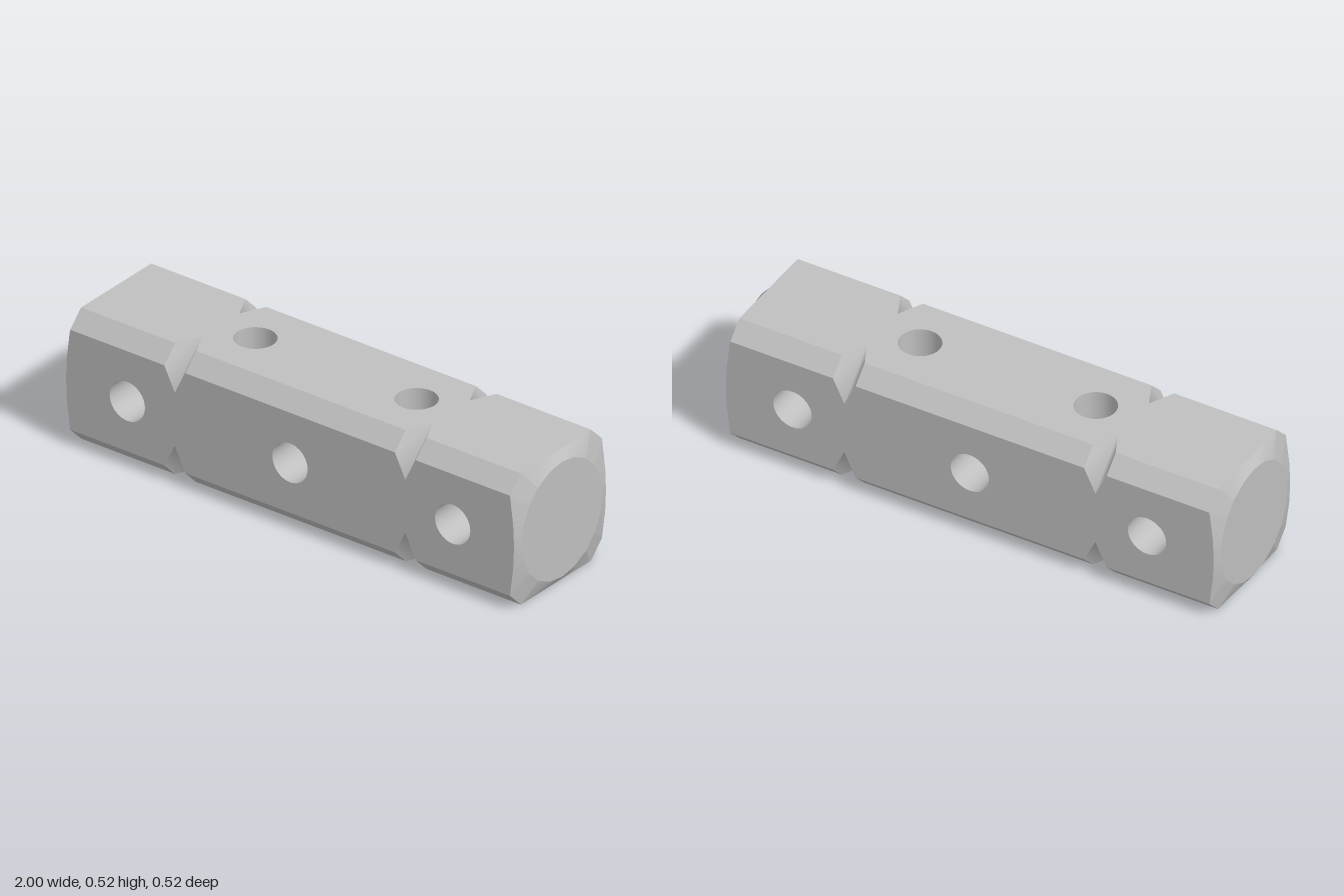
import * as THREE from 'three';

const H = 0.262, F = 0.2;              // half section, half width of each flat
const R = 0.23, END = 0.973;           // end disc radius, start of the end bevel
const NX = 0.51, NW = 0.046, NV = 0.106; // notch position, half width, apex
const HOLE = 0.078, STEP = Math.PI / 10;

const steel = new THREE.MeshStandardMaterial({ color: 0xbfbfbf, side: THREE.DoubleSide });
steel.name = 'grey steel';

function add(parent, geometry, name) {
  const mesh = new THREE.Mesh(geometry, steel);
  mesh.name = name;
  parent.add(mesh);
  return mesh;
}

function build(points, index) {
  const g = new THREE.BufferGeometry();
  g.setAttribute('position', new THREE.Float32BufferAttribute(points.flat(), 3));
  g.setIndex(index);
  g.computeVertexNormals();
  return g;
}

// x of the conical end bevel where it meets a front or back flat
const coneX = (v) => 1 - (1 - END) * (Math.hypot(H, v) - R) / (Math.hypot(H, F) - R);

// Flat side panel with edge notches, drilled holes and arched or straight ends
function panel(holes, arched) {
  const ys = [H * Math.tan(STEP), H * Math.tan(2 * STEP)];
  const end = [-F, -ys[1], -ys[0], 0, ys[0], ys[1], F]
    .map((y) => new THREE.Vector2(arched ? coneX(y) : END, y));
  const notches = [NX, -NX].flatMap((x) => [[x + NW, F], [x, NV], [x - NW, F]])
    .map(([x, y]) => new THREE.Vector2(x, y));
  const half = [...end, ...notches];
  const shape = new THREE.Shape([...half, ...half.map((p) => p.clone().negate())]);
  for (const x of holes) {
    const path = new THREE.Path();
    path.absarc(x, 0, HOLE, 0, Math.PI * 2, true);
    shape.holes.push(path);
  }
  return new THREE.ShapeGeometry(shape, 16).translate(0, 0, H);
}

function chamferStrip(x0, x1) {
  return build([[x0, F, H], [x1, F, H], [x1, H, F], [x0, H, F]], [0, 1, 2, 0, 2, 3]);
}

// V groove cut diagonally across a long edge
function groove() {
  return build(
    [[-NW, F, H], [-NW, H, F], [0, NV, H], [0, H, NV], [NW, F, H], [NW, H, F]],
    [0, 2, 3, 0, 3, 1, 2, 4, 5, 2, 5, 3]);
}

// Bevel from the octagonal section to the round end face
function endBevel() {
  const corner = Math.atan2(F, H);
  const angles = Array.from({ length: 20 }, (_, i) => i * STEP);
  for (let q = 0; q < 4; q++) {
    const a = q * Math.PI / 2;
    angles.push(a + corner, a + Math.PI / 2 - corner);
  }
  angles.sort((a, b) => a - b);
  const points = [], index = [], n = angles.length;
  angles.forEach((a, i) => {
    const c = Math.cos(a), s = Math.sin(a);
    const local = a - Math.floor(a / STEP + 1e-6) * STEP - STEP / 2;
    const r = R * Math.cos(STEP / 2) / Math.cos(local);
    const out = Math.min(H / Math.max(Math.abs(c), Math.abs(s)),
      (H + F) / (Math.abs(c) + Math.abs(s)));
    const onSide = Math.abs(out * c) > H - 1e-6;
    points.push([1, r * s, r * c], [onSide ? coneX(out * s) : END, out * s, out * c]);
    const j = (i + 1) % n;
    index.push(2 * i, 2 * j, 2 * j + 1, 2 * i, 2 * j + 1, 2 * i + 1);
  });
  return build(points, index);
}

export function createModel() {
  const model = new THREE.Group();
  model.name = 'drilledBar';
  const bar = new THREE.Group();
  bar.name = 'bar';
  bar.position.y = H;
  model.add(bar);

  const sideHoles = [-0.72, 0, 0.72], topHoles = [-0.357, 0.357];

  // Four long sides, each with the chamfer and grooves along one edge
  ['front', 'bottom', 'back', 'top'].forEach((name, k) => {
    const side = new THREE.Group();
    side.name = name + 'Side';
    side.rotation.x = k * Math.PI / 2;
    bar.add(side);
    const arched = k % 2 === 0;
    add(side, panel(arched ? sideHoles : topHoles, arched), 'flatPanel');
    for (const [x0, x1] of [[-END, -NX - NW], [-NX + NW, NX - NW], [NX + NW, END]]) {
      add(side, chamferStrip(x0, x1), 'edgeChamfer');
    }
    for (const x of [-NX, NX]) add(side, groove(), 'edgeNotch').position.x = x;
  });

  // Bores right through the bar
  const bore = () => new THREE.CylinderGeometry(HOLE, HOLE, 2 * H, 32, 1, true);
  for (const x of sideHoles) {
    add(bar, bore().rotateX(Math.PI / 2).translate(x, 0, 0), 'sideBore');
  }
  for (const x of topHoles) add(bar, bore().translate(x, 0, 0), 'verticalBore');

  // Bevelled ends
  for (const turn of [0, Math.PI]) {
    const end = new THREE.Group();
    end.name = turn ? 'rightEnd' : 'leftEnd';
    end.rotation.y = turn;
    add(end, endBevel(), 'endBevel');
    add(end, new THREE.CircleGeometry(R, 20).rotateY(Math.PI / 2).translate(1, 0, 0), 'endFace');
    bar.add(end);
  }
  return model;
}
